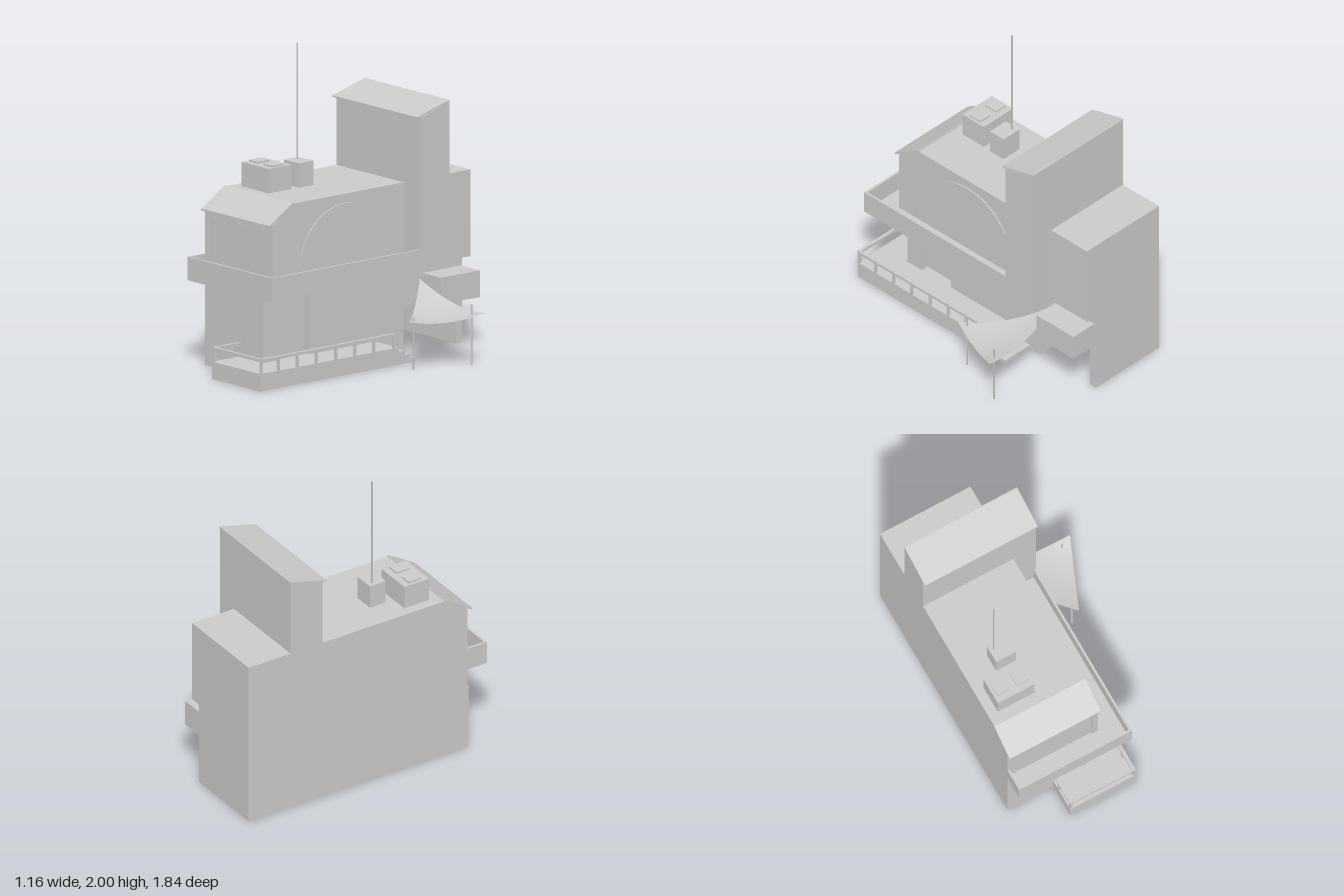
import * as THREE from 'three';

export function createModel() {
  const model = new THREE.Group();
  const mat = new THREE.MeshStandardMaterial({ color: 0xcccccc, flatShading: true });
  const thin = new THREE.MeshStandardMaterial({ color: 0xcccccc, side: THREE.DoubleSide });

  const add = (name, geometry, material = mat, parent = model) => {
    const mesh = new THREE.Mesh(geometry, material);
    mesh.name = name;
    parent.add(mesh);
    return mesh;
  };
  // Box from its limits on each axis
  const box = (name, x0, x1, y0, y1, z0, z1, parent = model) => {
    const g = new THREE.BoxGeometry(x1 - x0, y1 - y0, z1 - z0);
    g.translate((x0 + x1) / 2, (y0 + y1) / 2, (z0 + z1) / 2);
    return add(name, g, mat, parent);
  };
  const toShape = (pts) => new THREE.Shape(pts.map(([a, b]) => new THREE.Vector2(a, b)));
  // Floor plan of [x, z] points raised from y0 to y1
  const plan = (name, pts, y0, y1) => {
    const g = new THREE.ExtrudeGeometry(toShape(pts.map(([x, z]) => [x, -z])), { depth: y1 - y0, bevelEnabled: false });
    g.rotateX(-Math.PI / 2).translate(0, y0, 0);
    return add(name, g);
  };
  // Side profile of [z, y] points swept from x0 to x1
  const profile = (name, pts, x0, x1) => {
    const g = new THREE.ExtrudeGeometry(toShape(pts), { depth: x1 - x0, bevelEnabled: false });
    g.rotateY(-Math.PI / 2).translate(x1, 0, 0);
    return add(name, g);
  };
  const pole = (name, x, z, y0, y1, r) => {
    const g = new THREE.CylinderGeometry(r, r, y1 - y0, 8);
    g.translate(x, (y0 + y1) / 2, z);
    return add(name, g);
  };

  // Ground floor, with a door recess and an open garage bay on the right side
  const L = -0.58, R = -0.02, back = -0.92, front = 0.70;
  const door = [[R, 0.58], [-0.07, 0.58], [-0.07, 0.33], [R, 0.33]];
  const garage = [[R, -0.44], [-0.53, -0.44], [-0.53, -0.87], [R, -0.87]];
  plan('groundFloor', [[L, front], [R, front], ...door, ...garage, [R, back], [L, back]], 0, 0.30);
  plan('groundFloorTop', [[L, front], [R, front], ...door, [R, back], [L, back]], 0.30, 0.56);
  box('cornerPillar', -0.07, R, 0, 0.56, 0.60, 0.705);
  box('sideBox', R, 0.165, 0.32, 0.49, -0.905, -0.585);

  // Upper floor with a sloped front roof
  profile('upperFloor', [[back, 0.56], [0.69, 0.56], [0.69, 1.0], [0.53, 1.11], [back, 1.11]], L, 0.06);
  box('frontPilaster', L, -0.545, 0.56, 1.0, 0.68, 0.70);
  box('frontPilaster', 0.02, 0.06, 0.56, 1.0, 0.68, 0.70);
  profile('frontRoof', [[0.53, 1.1], [0.73, 0.985], [0.73, 0.998], [0.535, 1.117], [0.53, 1.117]], -0.583, 0.063);
  for (const x of [-0.5, -0.26, -0.03]) box('wallSlot', x - 0.025, x + 0.025, 0.945, 0.952, 0.68, 0.695);

  // Arched panel on the right wall
  const arch = [];
  for (let i = 0; i <= 14; i++) {
    const a = (i / 14) * Math.PI;
    arch.push([0.105 + 0.375 * Math.cos(a), 0.69 + 0.365 * Math.sin(a)]);
  }
  profile('archPanel', arch, 0.055, 0.068);

  // Balcony floor and parapet
  const t = 0.015;
  box('balconyFloor', L, 0.22, 0.56, 0.58, -0.38, 0.845);
  box('parapetFront', L, 0.22, 0.56, 0.71, 0.845 - t, 0.845);
  box('parapetRight', 0.22 - t, 0.22, 0.56, 0.71, -0.38, 0.845);
  box('parapetLeft', L, L + t, 0.56, 0.71, 0.69, 0.845);

  // Tower with a single-pitch roof
  profile('tower', [[-0.61, 0.56], [-0.375, 0.56], [-0.375, 1.55], [-0.61, 1.612]], L, 0.22);
  profile('towerRoof', [[-0.612, 1.612], [-0.345, 1.545], [-0.345, 1.555], [-0.605, 1.625], [-0.612, 1.625]], -0.582, 0.218);

  // Rooftop units and mast
  box('roofUnit', -0.515, -0.255, 1.11, 1.265, 0.275, 0.458);
  for (const x of [-0.453, -0.315]) box('roofUnitCap', x - 0.042, x + 0.042, 1.265, 1.276, 0.32, 0.415);
  box('mastBase', -0.392, -0.25, 1.11, 1.265, 0.10, 0.217);
  pole('mast', -0.362, 0.135, 1.26, 2.0, 0.005);

  // Deck wrapping the front corner, with steps at its back end
  plan('deck', [[-0.26, 0.92], [0.20, 0.92], [0.20, -0.21], [R, -0.21], [R, front], [-0.26, front]], 0, 0.11);
  box('doorFloor', -0.07, R, 0.09, 0.11, 0.33, 0.58);
  for (let i = 0; i < 3; i++) {
    box('step', R, 0.20, 0, 0.083 - i * 0.028, -0.26 - i * 0.046, -0.21 - i * 0.046);
  }

  // Deck railing
  const rail = new THREE.Group();
  rail.name = 'railing';
  model.add(rail);
  const post = (x, z) => box('railPost', x - 0.008, x + 0.008, 0.11, 0.205, z - 0.008, z + 0.008, rail);
  for (const z of [0.91, 0.77, 0.615, 0.46, 0.30, 0.145, -0.01, -0.175]) post(0.195, z);
  for (const z of [0.91, 0.77]) post(-0.25, z);
  box('railRight', 0.184, 0.206, 0.185, 0.203, -0.185, 0.92, rail);
  box('railFront', -0.26, 0.206, 0.185, 0.203, 0.90, 0.92, rail);
  box('railLeft', -0.26, -0.24, 0.185, 0.203, 0.70, 0.92, rail);

  // Sagging three-cornered shade sail on two poles
  const A = new THREE.Vector3(-0.01, 0.457, -0.565);
  const B = new THREE.Vector3(0.39, 0.315, -0.13);
  const C = new THREE.Vector3(0.58, 0.338, -0.585);
  const sail = new THREE.PlaneGeometry(1, 1, 12, 12);
  const p = sail.attributes.position;
  for (let i = 0; i < p.count; i++) {
    const u = p.getX(i) + 0.5, v = p.getY(i) + 0.5;
    const a = 1 - u, b = u * (1 - v), c = u * v;
    const q = new THREE.Vector3().addScaledVector(A, a).addScaledVector(B, b).addScaledVector(C, c);
    q.y -= 0.2 * (a * b + a * c) + 0.13 * b * c;
    q.z -= 0.06 * a * c;
    p.setXYZ(i, q.x, q.y, q.z);
  }
  sail.computeVertexNormals();
  add('shadeSail', sail, thin);
  pole('sailPole', 0.37, -0.185, 0, 0.33, 0.006);
  pole('sailPole', 0.50, -0.545, 0, 0.388, 0.006);

  return model;
}
